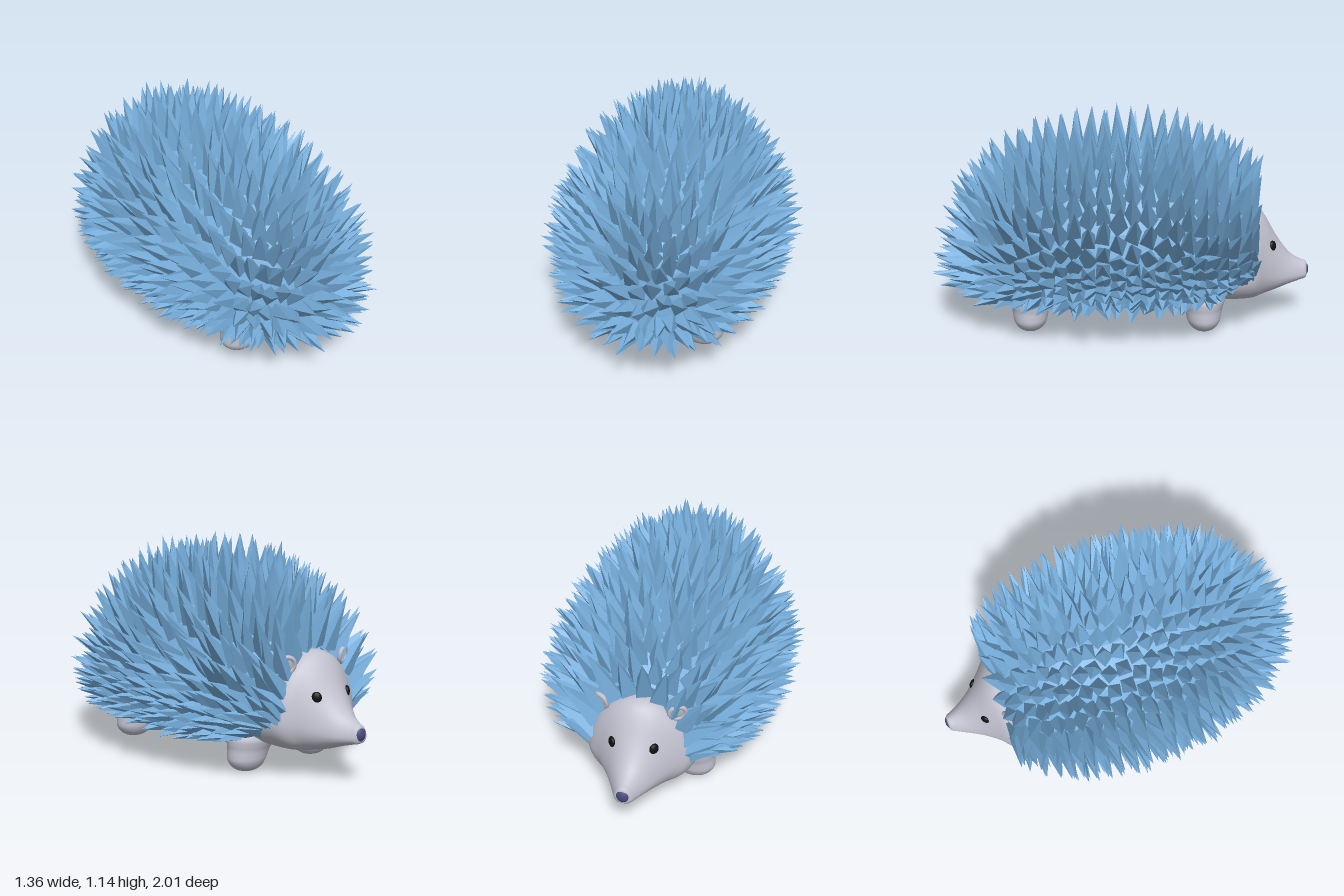
import * as THREE from 'three';
import { mergeGeometries, mergeVertices } from 'three/addons/utils/BufferGeometryUtils.js';

// Cross-sections from rump to snout: [z, half width, bottom y, top y]
const BODY = [
  [0.78, 0.02, 0.22, 0.28], [0.72, 0.18, 0.17, 0.45], [0.6, 0.28, 0.125, 0.5],
  [0.4, 0.34, 0.105, 0.55], [0, 0.36, 0.1, 0.55], [-0.3, 0.34, 0.112, 0.55],
  [-0.5, 0.3, 0.13, 0.58], [-0.61, 0.285, 0.127, 0.62], [-0.69, 0.26, 0.13, 0.62],
  [-0.75, 0.195, 0.142, 0.57], [-0.82, 0.135, 0.16, 0.45], [-0.89, 0.092, 0.185, 0.355],
  [-0.95, 0.06, 0.203, 0.315], [-0.985, 0.04, 0.215, 0.3], [-0.99, 0.001, 0.25, 0.26],
];
const COAT = [
  [0.8, 0.02, 0.23, 0.33], [0.77, 0.14, 0.2, 0.56], [0.68, 0.265, 0.17, 0.71],
  [0.55, 0.365, 0.15, 0.82], [0.38, 0.43, 0.135, 0.89], [0.2, 0.47, 0.13, 0.92],
  [0, 0.485, 0.13, 0.935], [-0.2, 0.465, 0.135, 0.93], [-0.37, 0.43, 0.15, 0.89],
  [-0.52, 0.37, 0.19, 0.82], [-0.66, 0.275, 0.25, 0.7],
];

// Smoothly interpolated cross-section at position u along the list
function section(rings, u) {
  const i = Math.min(Math.floor(u), rings.length - 2), t = u - i;
  const at = (k) => rings[THREE.MathUtils.clamp(k, 0, rings.length - 1)];
  return rings[0].map((_, c) => {
    const [a, b, d, e] = [at(i - 1)[c], at(i)[c], at(i + 1)[c], at(i + 2)[c]];
    return b + 0.5 * t * (d - a + t * (2 * a - 5 * b + 4 * d - e + t * (3 * (b - d) + e - a)));
  });
}

// Point on a cross-section: widest a third of the way up, peaked above, squarer below
function surfacePoint(rings, u, angle) {
  const [z, w, bottom, top] = section(rings, u);
  const mid = bottom + 0.33 * (top - bottom);
  const s = Math.sin(angle), c = Math.cos(angle);
  if (s > 0) return new THREE.Vector3(w * c, mid + s ** 1.2 * (top - mid), z);
  return new THREE.Vector3(w * Math.sign(c) * Math.abs(c) ** 0.75, mid + s * (mid - bottom), z);
}

function loft(rings, steps, sides) {
  const pos = [], index = [];
  const rows = (rings.length - 1) * steps;
  for (let i = 0; i <= rows; i++) {
    for (let j = 0; j < sides; j++) {
      pos.push(...surfacePoint(rings, i / steps, (j / sides) * Math.PI * 2).toArray());
      if (i === rows) continue;
      const a = i * sides + j, b = i * sides + ((j + 1) % sides);
      index.push(a, a + sides, b, b, a + sides, b + sides);
    }
  }
  const g = new THREE.BufferGeometry();
  g.setAttribute('position', new THREE.Float32BufferAttribute(pos, 3));
  g.setIndex(index);
  const smooth = mergeVertices(g);
  smooth.computeVertexNormals();
  return smooth;
}

// Staggered rows of broad four-sided spines fanning out from the coat
function spineGeometry() {
  let seed = 7;
  const rand = () => (seed = (seed * 16807) % 2147483647) / 2147483647;
  const up = new THREE.Vector3(0, 1, 0);
  const spines = [];
  const rows = 27, from = -1.05, to = Math.PI + 1.05;
  for (let r = 0; r <= rows; r++) {
    const u = (r / rows) * (COAT.length - 1);
    const [, w, bottom, top] = section(COAT, u);
    const n = Math.max(5, Math.round((2 * w + 1.3 * (top - bottom)) / 0.07));
    for (let k = 0; k < n; k++) {
      const angle = from + ((to - from) * (k + (r % 2 ? 0.25 : 0.75))) / n;
      const base = surfacePoint(COAT, u, angle);
      // Lean backwards on the rump, forwards on the upper collar
      const q = base.z > 0.1 ? (base.z - 0.1) / 0.7 : base.z / 0.65;
      const lean = base.z > 0.1 ? 0.42 * q * q : -0.4 * q * q * Math.max(0, base.y - 0.25);
      const dir = new THREE.Vector3(base.x, base.y - 0.195, lean);
      dir.x += (rand() - 0.5) * 0.07;
      dir.y += (rand() - 0.5) * 0.06;
      dir.z += (rand() - 0.5) * 0.1;
      dir.normalize();
      const length = 0.225 + 0.045 * rand();
      const spine = new THREE.ConeGeometry(0.06, length, 4, 1, true);
      spine.rotateY(rand() * Math.PI);
      spine.translate(0, length / 2 - 0.05, 0);
      spine.applyQuaternion(new THREE.Quaternion().setFromUnitVectors(up, dir));
      spine.translate(base.x, base.y, base.z);
      spines.push(spine);
    }
  }
  return mergeGeometries(spines);
}

// Rounded foot widening into the belly, with the top leaning inwards
function legGeometry() {
  const profile = [
    [0, 0], [0.045, 0.008], [0.075, 0.028], [0.094, 0.06], [0.1, 0.09],
    [0.106, 0.12], [0.118, 0.15], [0.126, 0.18], [0.11, 0.22], [0, 0.25],
  ].map(([x, y]) => new THREE.Vector2(x, y));
  const points = new THREE.SplineCurve(profile).getPoints(36);
  const g = new THREE.LatheGeometry(points.map((p) => p.setX(Math.max(0, p.x))), 28);
  const pos = g.attributes.position;
  for (let i = 0; i < pos.count; i++) {
    pos.setX(i, 1.1 * pos.getX(i) - 0.9 * Math.max(0, pos.getY(i) - 0.05) ** 1.5);
  }
  g.computeVertexNormals();
  return g;
}

export function createModel() {
  const model = new THREE.Group();
  model.name = 'hedgehog';
  const skin = new THREE.MeshStandardMaterial({ color: 0xc2c2d0, side: THREE.DoubleSide });
  const blue = new THREE.MeshStandardMaterial({ color: 0x78b0de, flatShading: true, side: THREE.DoubleSide });
  const dark = new THREE.MeshStandardMaterial({ color: 0x101010 });
  const noseColor = new THREE.MeshStandardMaterial({ color: 0x4a4a80 });

  const add = (name, geometry, material, parent = model) => {
    const mesh = new THREE.Mesh(geometry, material);
    mesh.name = name;
    parent.add(mesh);
    return mesh;
  };

  add('bodyAndHead', loft(BODY, 4, 40), skin);
  add('coat', loft(COAT, 2, 28), blue);
  add('spines', spineGeometry(), blue);

  const nose = add('nose', new THREE.SphereGeometry(1, 20, 14), noseColor);
  nose.scale.set(0.038, 0.04, 0.027);
  nose.position.set(0, 0.257, -0.973);

  const legShape = legGeometry();
  for (const side of [-1, 1]) {
    // Stubby legs, turned half round on the far side so both lean inwards
    for (const [name, z] of [['frontLeg', -0.43], ['hindLeg', 0.475]]) {
      const leg = add(name, legShape, skin);
      leg.rotation.y = side > 0 ? 0 : Math.PI;
      leg.scale.z = 0.92;
      leg.position.set(side * 0.23, 0.003, z);
    }

    // Eye set into the cheek
    const eye = add('eye', new THREE.SphereGeometry(1, 16, 12), dark);
    eye.scale.set(0.016, 0.03, 0.026);
    eye.position.set(side * 0.106, 0.42, -0.79);
    eye.rotation.y = side * 0.75;

    // Round cupped ear: rim and inner disc
    const ear = new THREE.Group();
    ear.name = 'ear';
    add('earRim', new THREE.TorusGeometry(0.04, 0.012, 8, 24), skin, ear);
    const cup = add('earCup', new THREE.SphereGeometry(1, 20, 12), skin, ear);
    cup.scale.set(0.04, 0.04, 0.008);
    ear.position.set(side * 0.195, 0.575, -0.675);
    ear.rotation.set(-0.2, -side * 0.4, 0);
    model.add(ear);
  }
  return model;
}
